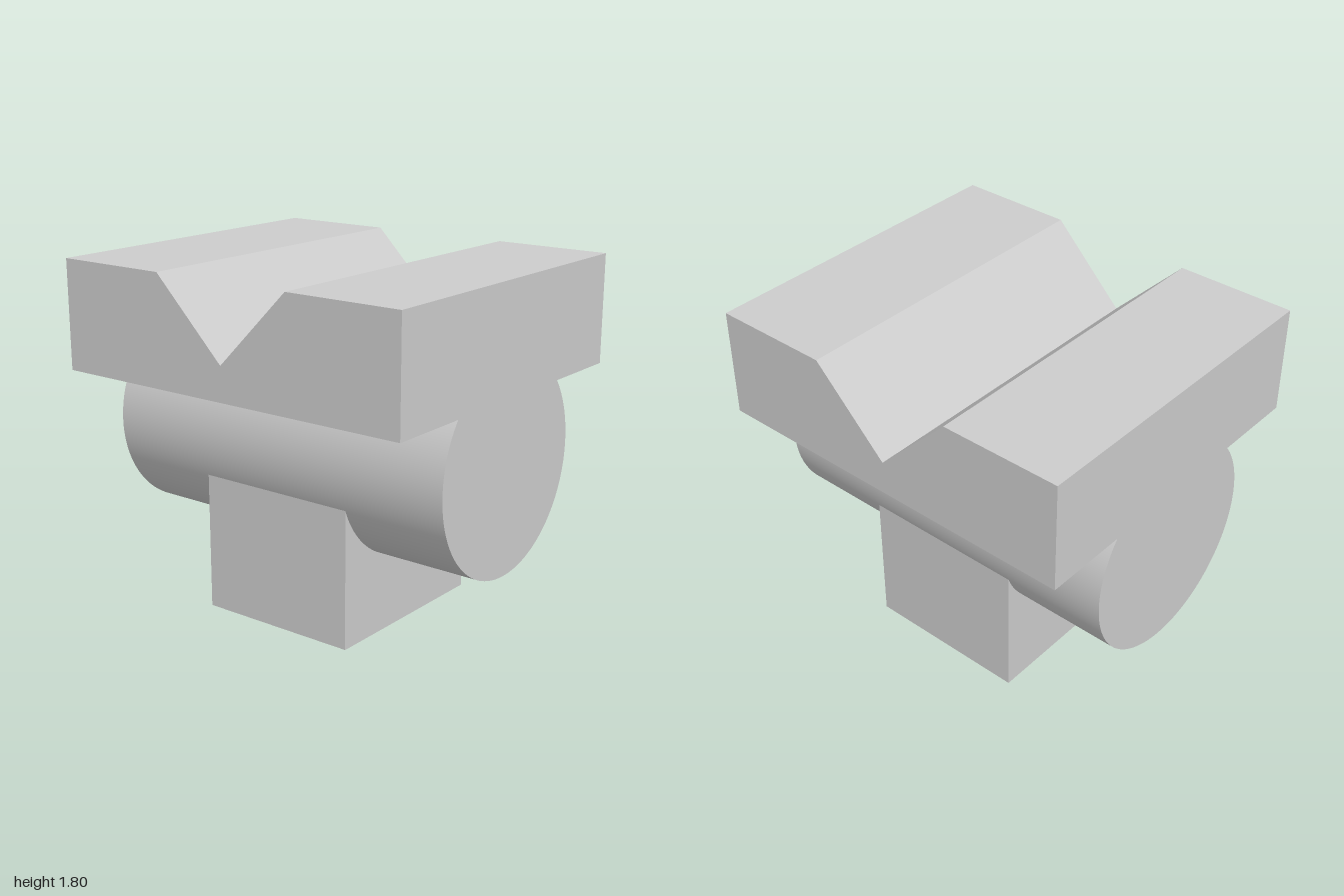
import * as THREE from 'three';
import { toCreasedNormals } from 'three/addons/utils/BufferGeometryUtils.js';

// Extrude a shape along z, centred on z = 0
function prism(shape, depth, curveSegments = 12) {
  const geometry = new THREE.ExtrudeGeometry(shape, { depth, curveSegments, bevelEnabled: false });
  return geometry.translate(0, 0, -depth / 2);
}

export function createModel() {
  const group = new THREE.Group();
  const grey = new THREE.MeshStandardMaterial({ color: 0xcccccc });
  grey.name = 'grey';

  const add = (name, geometry) => {
    const mesh = new THREE.Mesh(geometry, grey);
    mesh.name = name;
    group.add(mesh);
  };

  // Top slab with a V groove running across its width
  const slabBottom = 1.24;
  const profile = new THREE.Shape([
    [-1, slabBottom], [1, slabBottom], [1, 1.8], [0.385, 1.8],
    [0, 1.415], [-0.385, 1.8], [-1, 1.8],
  ].map(([x, y]) => new THREE.Vector2(x, y)));
  add('groovedSlab', prism(profile, 1.74).rotateY(Math.PI / 2));

  // Round bar, cut flat where it meets the slab
  const radius = 0.545;
  const centreY = 0.91;
  const cut = Math.asin((slabBottom - centreY) / radius);
  const round = new THREE.Shape();
  round.absarc(0, centreY, radius, cut, Math.PI - cut, true);
  round.closePath();
  add('roundBar', toCreasedNormals(prism(round, 2, 80), 0.5));

  // Square foot, its top buried in the bar
  add('foot', new THREE.BoxGeometry(1.015, 0.85, 0.87).translate(0, 0.425, 0));

  return group;
}
